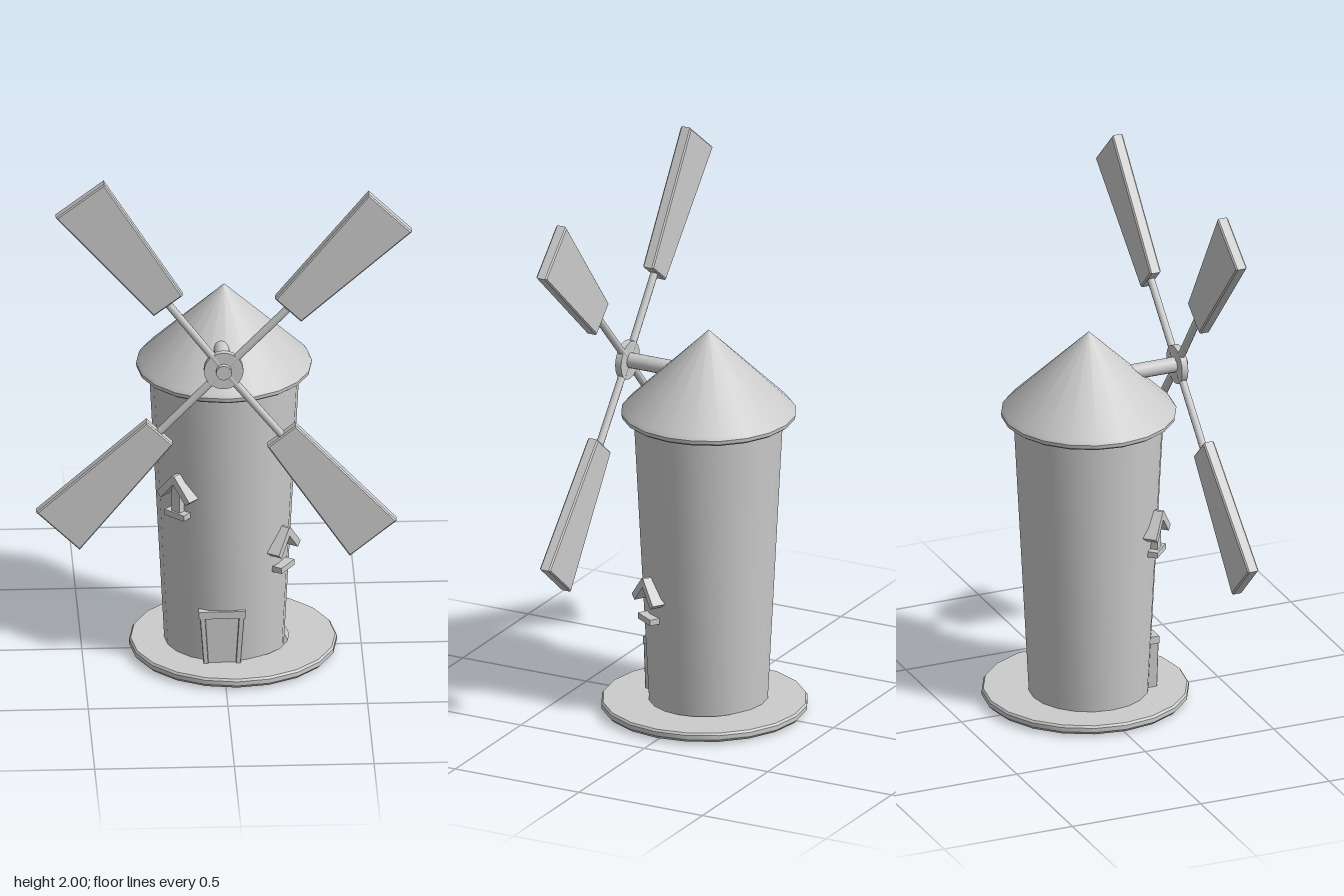
import * as THREE from 'three';
import { toCreasedNormals } from 'three/addons/utils/BufferGeometryUtils.js';

const material = new THREE.MeshStandardMaterial({ color: 0xcccccc, side: THREE.DoubleSide });
const SIDES = 20;

function add(parent, name, geometry, x = 0, y = 0, z = 0) {
  const mesh = new THREE.Mesh(geometry, material);
  mesh.name = name;
  mesh.position.set(x, y, z);
  parent.add(mesh);
  return mesh;
}

// Revolved part from [radius, height] pairs, bottom to top
function lathe(points) {
  const g = new THREE.LatheGeometry(points.map(p => new THREE.Vector2(...p)), SIDES);
  return toCreasedNormals(g, 0.5);
}

// Flat outline extruded and centred in depth, with a small bevel inside the outline
function slab(points, depth, bevel = 0.005) {
  const shape = new THREE.Shape(points.map(p => new THREE.Vector2(...p)));
  const g = new THREE.ExtrudeGeometry(shape, {
    depth: depth - 2 * bevel, bevelEnabled: true, bevelSegments: 1,
    bevelSize: bevel, bevelThickness: bevel, bevelOffset: -bevel,
  });
  return g.translate(0, 0, bevel - depth / 2);
}

const towerRadius = y => 0.213 + 0.057 * y / 1.11;

// Gabled window hood with a sill, set on the tower wall at an azimuth from +z
function makeWindow(name, azimuth, peakY, withPost) {
  const group = new THREE.Group();
  group.name = name;
  const a = THREE.MathUtils.degToRad(azimuth);
  const r = towerRadius(peakY - 0.08);
  group.position.set(0.01 + r * Math.sin(a), peakY, r * Math.cos(a));
  group.rotation.y = a;
  for (const s of [-1, 1]) {
    const arm = add(group, 'windowHood', new THREE.BoxGeometry(0.11, 0.026, 0.06), s * 0.031, -0.05, 0.005);
    arm.rotation.z = -s * 0.85;
  }
  add(group, 'windowSill', new THREE.BoxGeometry(0.09, 0.022, 0.05), 0, -0.157, 0.003);
  if (withPost) add(group, 'windowPost', new THREE.BoxGeometry(0.038, 0.11, 0.03), 0, -0.095, 0.005);
  return group;
}

// Sail pointing along +y: a round spar and a tapered blade
function makeSail(degrees) {
  const sail = new THREE.Group();
  sail.name = 'sail';
  add(sail, 'spar', new THREE.CylinderGeometry(0.014, 0.014, 0.36, 10), 0, 0.19, 0);
  add(sail, 'blade', slab([[-0.065, 0.33], [0.065, 0.33], [0.108, 0.855], [-0.108, 0.855]], 0.042));
  sail.rotation.z = THREE.MathUtils.degToRad(degrees - 90);
  return sail;
}

export function createModel() {
  const model = new THREE.Group();
  model.name = 'windmill';

  // Round footing
  add(model, 'base', lathe([[0.2, 0.007], [0.362, 0.007], [0.372, 0.018], [0.372, 0.034], [0.366, 0.042], [0.2, 0.042]]), 0.041);

  // Tapered tower with a shallow recess underneath
  add(model, 'tower', lathe([[0, 0.02], [0.203, 0.02], [0.206, 0], [0.213, 0], [0.27, 1.11], [0, 1.11]]), 0.01);

  // Conical roof with a rounded eave
  add(model, 'roof', lathe([[0, 1.106], [0.302, 1.106], [0.313, 1.114], [0.315, 1.128], [0.305, 1.142], [0, 1.437]]), 0.009);

  // Doorway: panel, leaning posts and lintel
  const door = new THREE.Group();
  door.name = 'door';
  door.position.set(-0.008, 0, 0.2);
  add(door, 'doorPanel', slab([[-0.05, 0.03], [0.05, 0.03], [0.064, 0.225], [-0.064, 0.225]], 0.046, 0.002));
  for (const s of [-1, 1]) {
    const post = [[0.048, 0.03], [0.066, 0.03], [0.08, 0.225], [0.06, 0.225]].map(([x, y]) => [s * x, y]);
    add(door, 'doorPost', slab(post, 0.062, 0.002));
  }
  add(door, 'doorLintel', new THREE.BoxGeometry(0.168, 0.028, 0.062), 0, 0.231, 0);
  model.add(door);

  // Windows
  model.add(makeWindow('rightWindow', -43, 0.775, true));
  model.add(makeWindow('leftWindow', 57, 0.535, false));

  // Axle from the roof through the hub
  add(model, 'axle', new THREE.CylinderGeometry(0.028, 0.028, 0.366, 16).rotateX(Math.PI / 2), -0.008, 1.256, 0.185);

  // Rotor with four sails, leaning slightly
  const rotor = new THREE.Group();
  rotor.name = 'rotor';
  rotor.position.set(-0.008, 1.256, 0.338);
  rotor.rotation.x = -0.013;
  add(rotor, 'hub', new THREE.CylinderGeometry(0.071, 0.071, 0.024, SIDES).rotateX(Math.PI / 2));
  for (const angle of [45.7, 127, 226, 308.7]) rotor.add(makeSail(angle));
  model.add(rotor);

  return model;
}
